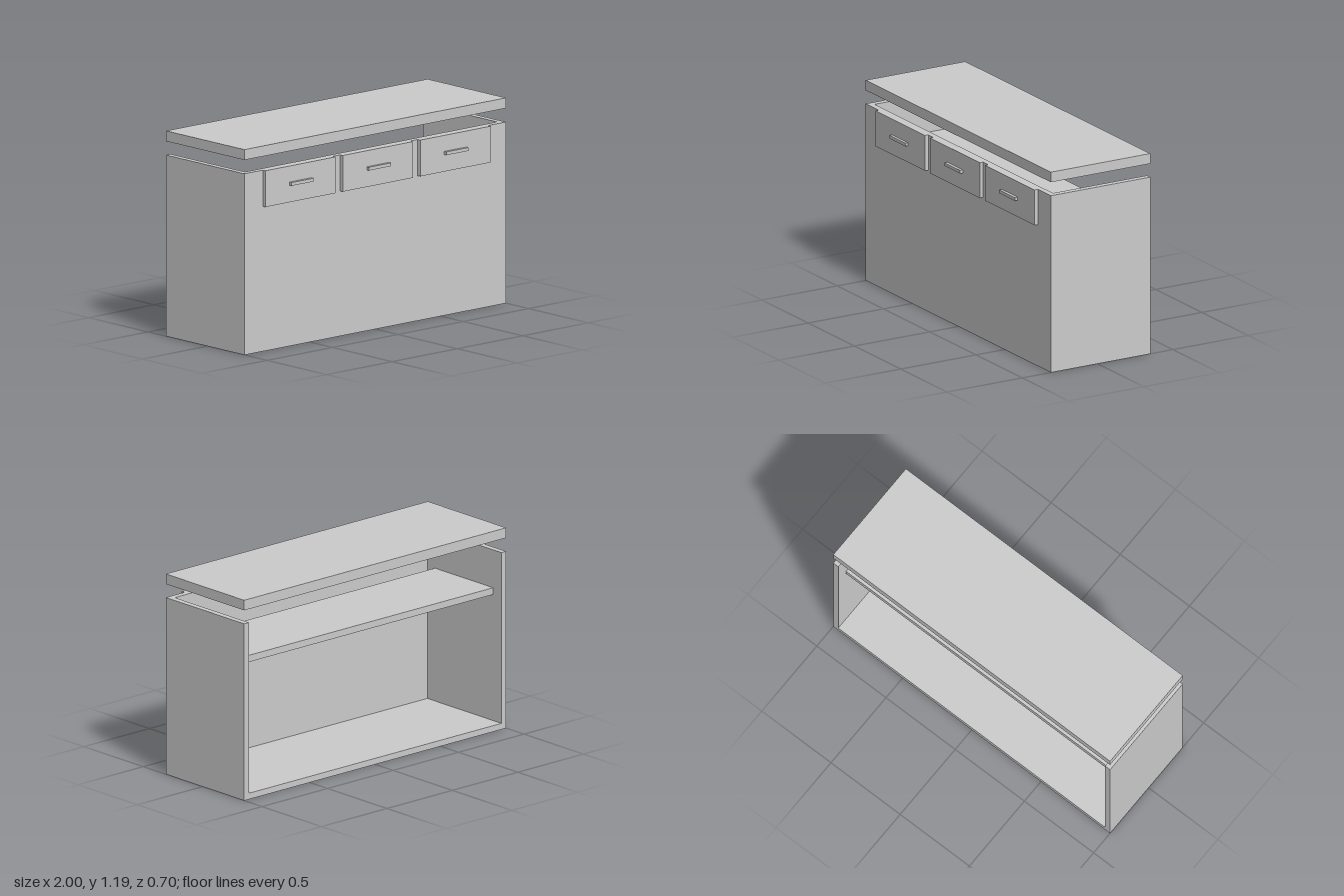
import * as THREE from 'three';

const material = new THREE.MeshStandardMaterial({ color: 0xcccccc });

// Box given by its minimum and maximum along each axis
function box(name, [x0, x1], [y0, y1], [z0, z1]) {
  const mesh = new THREE.Mesh(new THREE.BoxGeometry(x1 - x0, y1 - y0, z1 - z0), material);
  mesh.name = name;
  mesh.position.set((x0 + x1) / 2, (y0 + y1) / 2, (z0 + z1) / 2);
  return mesh;
}

export function createModel() {
  const model = new THREE.Group();
  model.name = 'counter';

  const board = 0.036; // board thickness
  const inner = 1 - board;
  const back = -0.35, front = 0.31, height = 1.05;

  // Open-backed carcass
  model.add(
    box('rightSide', [-1, -inner], [0, height], [back, front]),
    box('leftSide', [inner, 1], [0, height], [back, front]),
    box('bottomPanel', [-inner, inner], [0, board], [back, front]),
    box('frontPanel', [-inner, inner], [board, height], [front - board, front]),
    box('shelf', [-inner, inner], [0.785, 0.825], [-0.28, 0.21])
  );

  // Worktop raised above the carcass
  model.add(box('worktop', [-1, 1], [1.13, 1.19], [back, front]));

  // Three drawer fronts with bar handles
  for (const x of [-0.592, 0, 0.592]) {
    const drawer = new THREE.Group();
    drawer.name = 'drawer';
    drawer.add(
      box('drawerFront', [x - 0.268, x + 0.268], [0.84, height], [front, 0.332]),
      box('drawerHandle', [x - 0.085, x + 0.085], [0.938, 0.957], [0.332, 0.35])
    );
    model.add(drawer);
  }

  return model;
}
